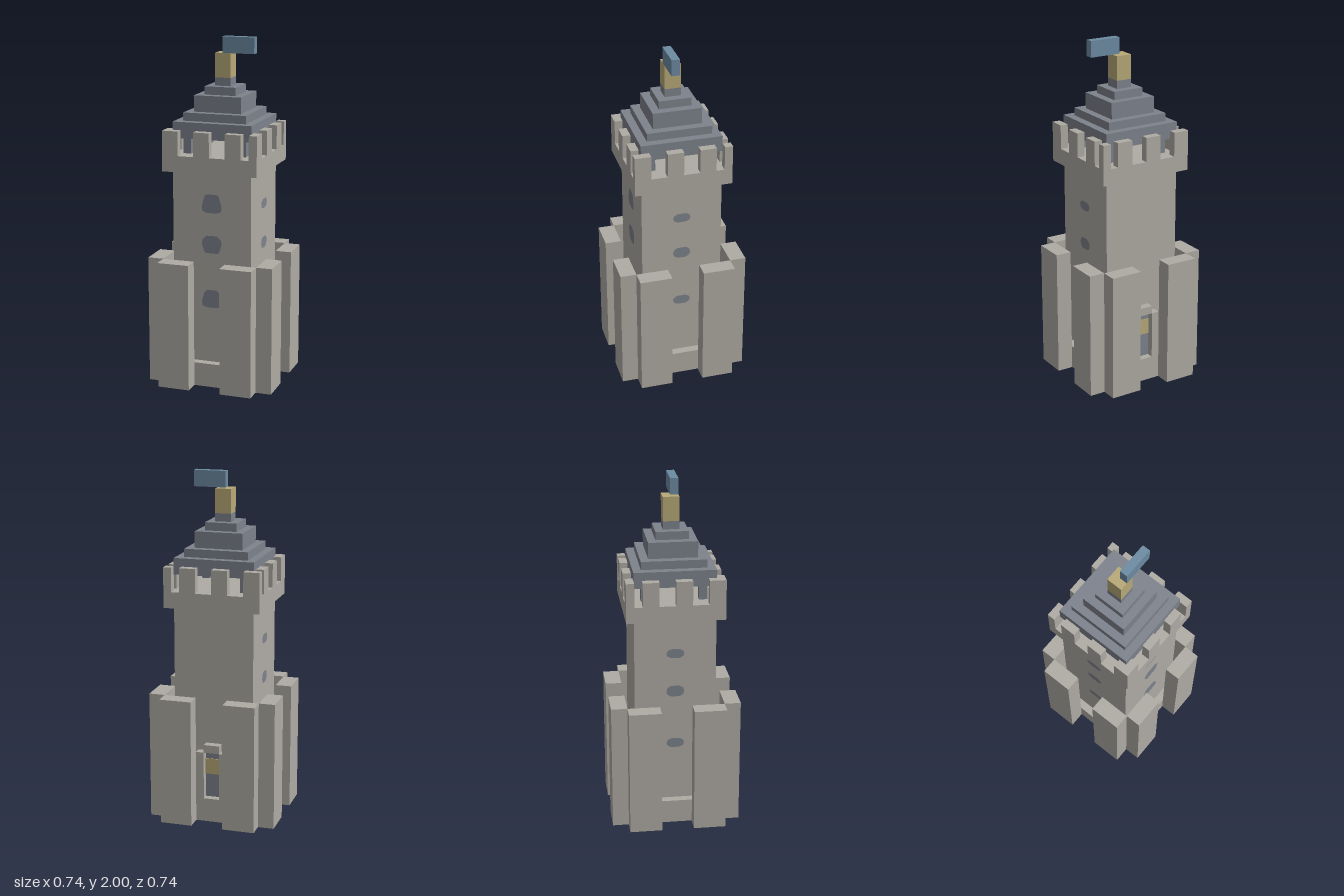
import * as THREE from 'three';

const U = 2 / 43; // one building block

export function createModel() {
  const mat = (name, color) => {
    const m = new THREE.MeshStandardMaterial({ color, side: THREE.DoubleSide });
    m.name = name;
    return m;
  };
  const stone = mat('stone', 0xafaba4);
  const slate = mat('slate', 0x7d828c);
  const gold = mat('gold', 0xb8a977);
  const blue = mat('flag blue', 0x6d8ba2);

  const model = new THREE.Group();
  model.name = 'tower';
  const add = (name, geometry, material, parent = model) => {
    const mesh = new THREE.Mesh(geometry, material);
    mesh.name = name;
    parent.add(mesh);
    return mesh;
  };
  const group = (name) => {
    const g = new THREE.Group();
    g.name = name;
    model.add(g);
    return g;
  };

  // Box between two corners in block units; skip lists faces to leave open (2 top, 3 bottom)
  const block = (name, material, [x0, x1], [y0, y1], [z0, z1], parent, skip = []) => {
    const g = new THREE.BoxGeometry((x1 - x0) * U, (y1 - y0) * U, (z1 - z0) * U);
    g.translate(((x0 + x1) / 2) * U, ((y0 + y1) / 2) * U, ((z0 + z1) / 2) * U);
    if (skip.length) {
      g.setIndex(Array.from(g.index.array).filter((_, i) => !skip.includes(Math.floor(i / 6))));
      g.clearGroups();
    }
    return add(name, g, material, parent);
  };
  const square = (name, material, r, y0, y1, skip, parent) =>
    block(name, material, [-r, r], [y0, y1], [-r, r], parent, skip);

  // Plinth: open shell with a narrow ledge round the body
  square('plinth', stone, 6, 0, 3, [2, 3]);
  const ledge = new THREE.Shape();
  const hole = new THREE.Path();
  const outline = (p, r) => p.moveTo(-r, -r).lineTo(r, -r).lineTo(r, r).lineTo(-r, r).closePath();
  outline(ledge, 6 * U);
  outline(hole, 5 * U);
  ledge.holes.push(hole);
  add('plinthLedge', new THREE.ShapeGeometry(ledge).rotateX(-Math.PI / 2).translate(0, 3 * U, 0), stone);

  // Hollow body and overhanging cornice
  square('body', stone, 5, 3, 27, [2, 3]);
  square('cornice', stone, 6, 27, 29, []);

  // Pairs of buttresses at each corner
  const buttresses = group('buttresses');
  for (const sx of [-1, 1]) {
    for (const sz of [-1, 1]) {
      const near = (s) => (s > 0 ? [2, 6] : [-6, -2]);
      const far = (s) => (s > 0 ? [6, 8] : [-8, -6]);
      block('buttress', stone, near(sx), [0, 16], far(sz), buttresses, [3]);
      block('buttress', stone, far(sx), [0, 16], near(sz), buttresses, [3]);
    }
  }

  // Battlements: uneven merlons repeated on all four sides
  const merlons = group('battlements');
  for (const [a, b] of [[-6, -4], [-2, 0], [2, 4], [5, 6]]) {
    for (const rim of [[5, 6], [-6, -5]]) {
      block('merlon', stone, [a, b], [29, 32], rim, merlons);
      block('merlon', stone, rim, [29, 32], [-b, -a], merlons);
    }
  }

  // Stepped roof on four corner posts
  const roof = group('roof');
  for (const x of [[-4, -3], [3, 4]]) {
    for (const z of [[-4, -3], [3, 4]]) block('roofPost', slate, x, [29, 31], z, roof);
  }
  for (const [r, y0, y1] of [[5, 31, 33], [4, 33, 34], [3, 34, 36], [2, 36, 37], [1, 37, 38]]) {
    square('roofTier', slate, r, y0, y1, [], roof);
  }
  square('finial', gold, 1, 38, 41, []);
  block('flag', blue, [0, 4], [41, 43], [0, 1]);

  // Windows: rounded outlines laid on the walls
  const windowPlate = (points) => {
    const pts = [...points, ...points.slice().reverse().map(([x, y]) => [-x, y])];
    return new THREE.ShapeGeometry(new THREE.Shape(pts.map(([x, y]) => new THREE.Vector2(x, y))));
  };
  const windows = group('windows');
  const wall = 5 * U + 0.003;
  const frontWindows = [
    [1.08, [[0.03, -0.055], [0.055, -0.045], [0.06, -0.02], [0.042, 0.045], [0.03, 0.052]]],
    [0.84, [[0.035, -0.05], [0.046, -0.04], [0.06, 0.005], [0.055, 0.03], [0.03, 0.052]]],
    [0.52, [[0.035, -0.053], [0.055, -0.045], [0.06, -0.02], [0.046, 0.035], [0.03, 0.052]]],
  ];
  for (const [y, pts] of frontWindows) {
    add('frontWindow', windowPlate(pts), slate, windows).position.set(0, y, wall);
  }
  for (const [y, h] of [[1.05, 0.027], [0.82, 0.033], [0.495, 0.028]]) {
    const pts = [[0.025, -h], [0.045, -h * 0.6], [0.051, 0], [0.045, h * 0.6], [0.025, h]];
    for (const s of [-1, 1]) {
      const w = add('sideWindow', windowPlate(pts), slate, windows);
      w.position.set(s * wall, y, 0);
      w.rotation.y = (s * Math.PI) / 2;
    }
  }

  // Back door: stone frame, slate leaf and gold panel
  const door = group('backDoor');
  for (const x of [[-2, -1], [1, 2]]) block('doorJamb', stone, x, [3, 9], [-6, -5], door);
  block('doorLintel', stone, [-1, 1], [9, 10], [-6, -5], door);
  block('doorLeaf', slate, [-1, 1], [3, 9], [-5.1, -5], door);
  block('doorPanel', gold, [-1, 1], [6, 8], [-5.2, -5.1], door);

  return model;
}
